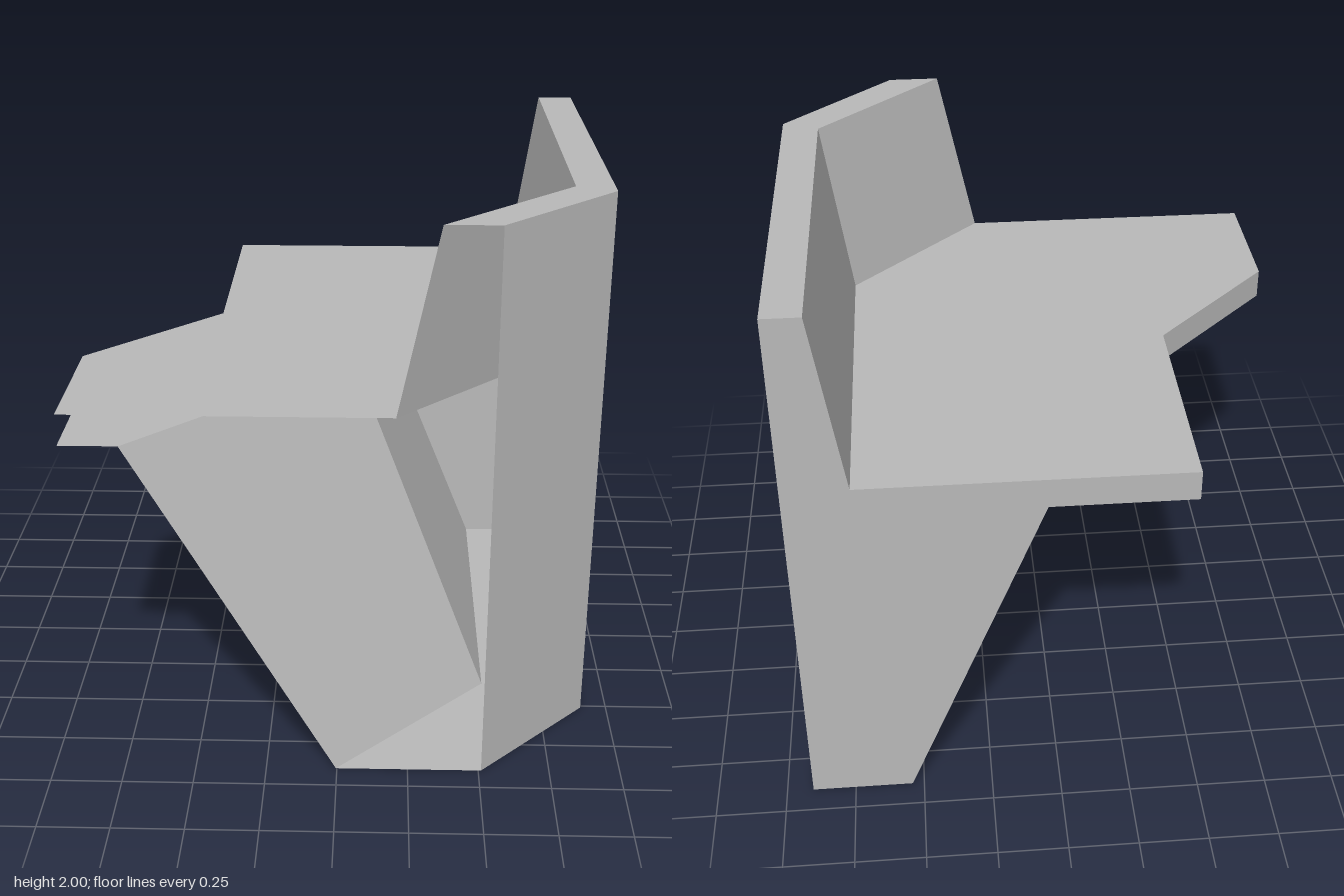
import * as THREE from 'three';

const H = 0.905; // half width and half depth
const MITRE = Math.tan(Math.PI / 8); // the bench bends by 45 degrees

// Cross-section of the straight run (x, y); each name covers the edge from its point to the next
const profile = [
  ['backPanel', 0.905, 0],
  ['backrestTop', 0.905, 2],
  ['backrestFront', 0.775, 2],
  ['seat', 0.68, 1.36],
  ['seatLip', -0.455, 1.36],
  ['seatUnderside', -0.455, 1.25],
  ['baseFront', 0.045, 1.25],
  ['baseBottom', 0.542, 0],
];

// Path of one profile point: rear end, mitred bend, trimmed front end
function rail(x, y) {
  const bendZ = 0.51 + (x - H) * MITRE;
  const run = Math.min(H - bendZ, x + H);
  return {
    points: [[x, y, -H], [x, y, bendZ], [x - run, y, bendZ + run]],
    trimmed: run < H - bendZ - 1e-6, // meets the side limit before the front limit
  };
}

export function createModel() {
  const group = new THREE.Group();
  group.name = 'cornerBench';
  const grey = new THREE.MeshStandardMaterial({ color: 0xb8b8b8, side: THREE.DoubleSide, flatShading: true });
  grey.name = 'plain grey';

  const add = (name, geometry) => {
    const mesh = new THREE.Mesh(geometry, grey);
    mesh.name = name;
    group.add(mesh);
  };

  // Panels swept along the straight run and the diagonal run
  profile.forEach(([name, x, y], i) => {
    const [, x2, y2] = profile[(i + 1) % profile.length];
    const a = rail(x, y), b = rail(x2, y2);
    const corners = [];
    for (let s = 0; s < 2; s++) {
      const [ap, aq, bp, bq] = [a.points[s], a.points[s + 1], b.points[s], b.points[s + 1]];
      corners.push(aq, ap, bp, aq, bp, bq);
    }
    // The seat boards run out to a square corner
    if (a.trimmed !== b.trimmed) corners.push(a.points[2], b.points[2], [-H, y, H]);
    const geometry = new THREE.BufferGeometry();
    geometry.setAttribute('position', new THREE.Float32BufferAttribute(corners.flat(), 3));
    geometry.computeVertexNormals();
    add(name, geometry);
  });

  // Closed rear end; the front end stays open
  const outline = new THREE.Shape(profile.map(([, x, y]) => new THREE.Vector2(-x, y)));
  add('rearEndPanel', new THREE.ShapeGeometry(outline).rotateY(Math.PI).translate(0, 0, -H));

  return group;
}
